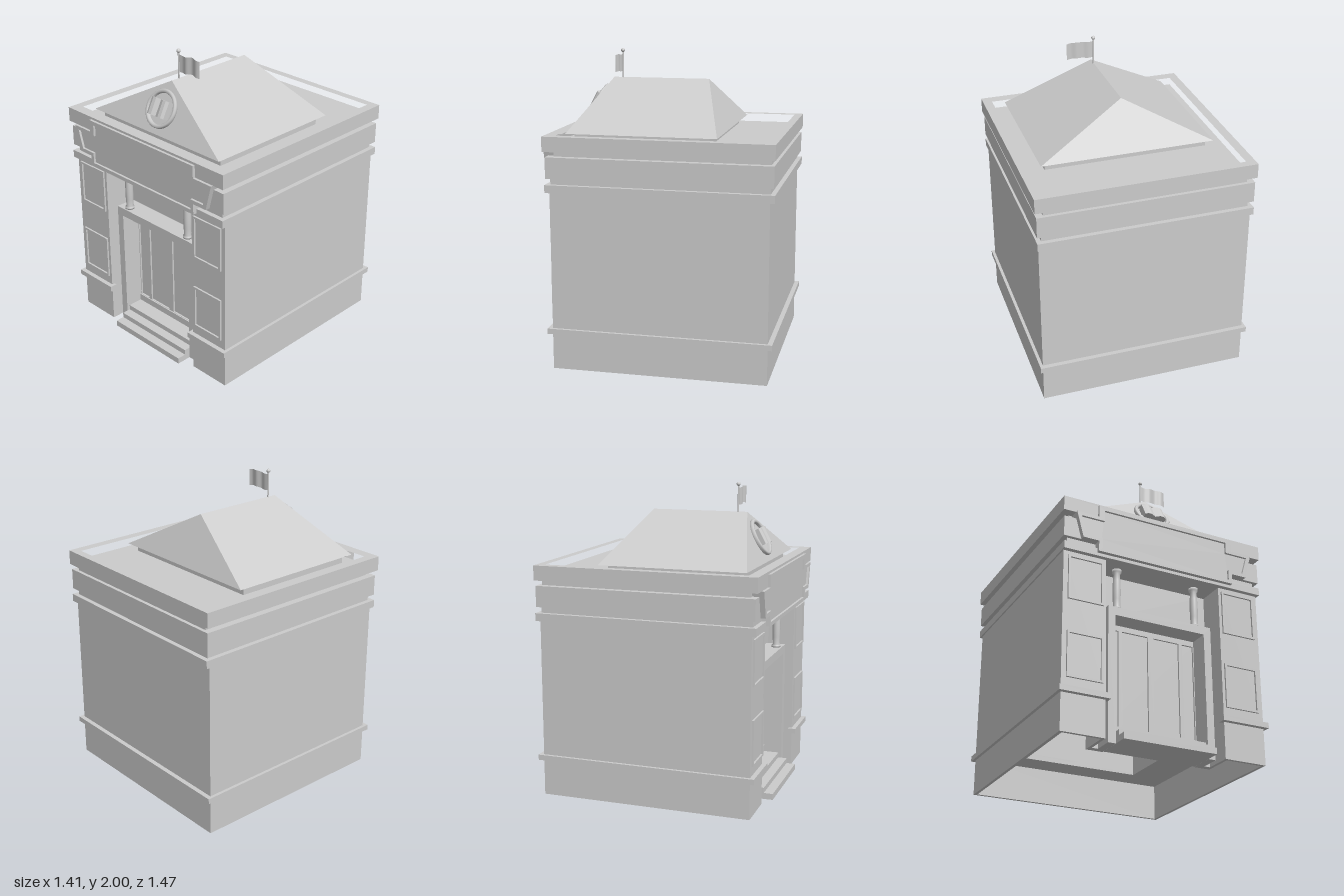
import * as THREE from 'three';
import { ConvexGeometry } from 'three/addons/geometries/ConvexGeometry.js';

const grey = new THREE.MeshStandardMaterial({ color: 0xcccccc });
const twoSided = new THREE.MeshStandardMaterial({ color: 0xcccccc, side: THREE.DoubleSide });

function add(parent, name, geometry, material = grey) {
  const mesh = new THREE.Mesh(geometry, material);
  mesh.name = name;
  parent.add(mesh);
  return mesh;
}

// Box given by its min and max on each axis
function box(parent, name, x0, x1, y0, y1, z0, z1) {
  const mesh = add(parent, name, new THREE.BoxGeometry(x1 - x0, y1 - y0, z1 - z0));
  mesh.position.set((x0 + x1) / 2, (y0 + y1) / 2, (z0 + z1) / 2);
  return mesh;
}

const toShape = (pts) => new THREE.Shape(pts.map(([a, b]) => new THREE.Vector2(a, b)));
const rect = (x0, x1, y0, y1) => [[x0, y0], [x1, y0], [x1, y1], [x0, y1]];
// Completes a right-to-left symmetric outline from its +x half
const mirrored = (half) => [...half, ...half.map(([x, y]) => [-x, y]).reverse()];

// Outline in x/y with holes, extruded from z0 to z1
function panel(parent, name, outline, holes, z0, z1) {
  const shape = toShape(outline);
  holes.forEach((h) => shape.holes.push(toShape(h)));
  const g = new THREE.ExtrudeGeometry(shape, { depth: z1 - z0, bevelEnabled: false });
  return add(parent, name, g.translate(0, 0, z0));
}

// Outline in x/z with holes, extruded from y0 to y1
function plan(parent, name, outline, holes, y0, y1) {
  const flip = (pts) => pts.map(([x, z]) => [x, -z]);
  const shape = toShape(flip(outline));
  holes.forEach((h) => shape.holes.push(toShape(flip(h))));
  const g = new THREE.ExtrudeGeometry(shape, { depth: y1 - y0, bevelEnabled: false });
  return add(parent, name, g.rotateX(-Math.PI / 2).translate(0, y0, 0));
}

function buildWalls(root) {
  const walls = new THREE.Group();
  walls.name = 'walls';
  root.add(walls);
  // Hollow plinth, open across the doorway
  plan(walls, 'plinth', mirrored([
    [0.685, -0.70], [0.685, 0.68], [0.40, 0.68], [0.40, 0.46],
    [0.42, 0.46], [0.42, 0.66], [0.665, 0.66], [0.665, -0.68],
  ]), [], 0, 0.25);
  plan(walls, 'plinthBand', mirrored([
    [0.705, -0.73], [0.705, 0.71], [0.38, 0.71], [0.38, 0.66], [0.40, 0.66], [0.40, -0.5],
  ]), [], 0.235, 0.27);
  plan(walls, 'mainWalls', mirrored([
    [0.685, -0.70], [0.685, 0.68], [0.40, 0.68], [0.40, -0.5],
  ]), [], 0.25, 1.16);
  // Raised frames on the two front pilasters
  for (const s of [-1, 1]) {
    for (const y of [0.345, 0.845]) {
      const a = s > 0 ? 0.433 : -0.64;
      panel(walls, 'pilasterFrame', rect(a - 0.014, a + 0.221, y - 0.014, y + 0.279),
        [rect(a, a + 0.207, y, y + 0.265)], 0.675, 0.692);
    }
  }
}

function buildCornice(root) {
  const cornice = new THREE.Group();
  cornice.name = 'cornice';
  root.add(cornice);
  const bands = [
    ['lowerMoulding', 0.695, 1.15, 1.20, -0.73, 0.71],
    ['lowerRecess', 0.665, 1.20, 1.24, -0.70, 0.68],
    ['frieze', 0.695, 1.24, 1.375, -0.723, 0.703],
    ['upperRecess', 0.65, 1.375, 1.45, -0.70, 0.66],
  ];
  for (const [name, x, y0, y1, z0, z1] of bands) box(cornice, name, -x, x, y0, y1, z0, z1);
  plan(cornice, 'parapet', rect(-0.705, 0.705, -0.73, 0.718),
    [rect(-0.645, 0.645, -0.677, 0.647)], 1.41, 1.505);
}

function buildSign(root) {
  const sign = new THREE.Group();
  sign.name = 'signBoard';
  root.add(sign);
  const outer = mirrored([
    [0.475, 1.17], [0.475, 1.24], [0.58, 1.24], [0.625, 1.41], [0.475, 1.41], [0.475, 1.49],
  ]);
  const inner = mirrored([
    [0.45, 1.195], [0.45, 1.265], [0.557, 1.265], [0.592, 1.387], [0.437, 1.387], [0.437, 1.462],
  ]);
  panel(sign, 'signFrame', outer, [inner], 0.66, 0.735);
  panel(sign, 'signPanel', inner, [], 0.66, 0.72);
}

function buildEntrance(root) {
  const entrance = new THREE.Group();
  entrance.name = 'entrance';
  root.add(entrance);
  box(entrance, 'wallOverDoor', -0.40, 0.40, 0.82, 1.16, 0.46, 0.50);
  for (const s of [-1, 1]) {
    box(entrance, 'wallBesideDoor', s * 0.375 - 0.025, s * 0.375 + 0.025, 0, 0.82, 0.46, 0.50);
  }
  panel(entrance, 'doorFrame', mirrored([[0.31, 0], [0.36, 0], [0.36, 0.875]])
    .concat([[-0.31, 0], [-0.31, 0.82], [0.31, 0.82]].slice(1)).map((p) => p)
    .filter((p) => p), [], 0.46, 0.63);
  // Two leaves with narrow side lights
  const openings = [[-0.31, -0.225], [-0.2, -0.02], [0.02, 0.2], [0.225, 0.305]];
  panel(entrance, 'doorRails', rect(-0.315, 0.315, 0.10, 0.825),
    openings.map(([a, b]) => rect(Math.max(a, -0.305), b, 0.157, 0.785)), 0.46, 0.50);
  box(entrance, 'doorPanels', -0.31, 0.31, 0.15, 0.79, 0.472, 0.488);
  box(entrance, 'doorThreshold', -0.31, 0.31, 0.11, 0.155, 0.46, 0.508);
  // Steps
  [0.73, 0.67, 0.61].forEach((z, i) => {
    box(entrance, 'step', -0.309, 0.309, [0, 0.04, 0.075][i], [0.04, 0.075, 0.11][i], 0.47, z);
  });
  // Columns standing on the door frame
  const profile = [
    [0, 0], [0.031, 0], [0.031, 0.012], [0.022, 0.02], [0.025, 0.07], [0.026, 0.13],
    [0.024, 0.2], [0.02, 0.245], [0.03, 0.257], [0.03, 0.277], [0, 0.277],
  ].map(([r, y]) => new THREE.Vector2(r, y));
  for (const x of [-0.283, 0.268]) {
    add(entrance, 'column', new THREE.LatheGeometry(profile, 20)).position.set(x, 0.875, 0.59);
  }
}

function buildRoof(root) {
  const roof = new THREE.Group();
  roof.name = 'roof';
  root.add(roof);
  box(roof, 'roofBase', -0.53, 0.53, 1.44, 1.506, -0.30, 0.56);
  const v = (x, y, z) => new THREE.Vector3(x, y, z);
  add(roof, 'hippedRoof', new ConvexGeometry([
    v(-0.565, 1.505, 0.61), v(0.565, 1.505, 0.61), v(-0.565, 1.505, -0.353), v(0.565, 1.505, -0.353),
    v(0, 1.81, 0.45), v(0, 1.81, -0.19),
  ]));

  // Round medallion lying on the front slope
  const medallion = new THREE.Group();
  medallion.name = 'medallion';
  medallion.position.set(0, 1.648, 0.535);
  medallion.rotation.x = -Math.atan2(0.16, 0.305);
  roof.add(medallion);
  const ring = [[0.1, -0.01], [0.125, -0.01], [0.125, 0.014], [0.119, 0.022], [0.106, 0.022], [0.1, 0.014], [0.1, -0.01]];
  add(medallion, 'medallionRing', new THREE.LatheGeometry(
    ring.map(([r, y]) => new THREE.Vector2(r, y)), 40).rotateX(Math.PI / 2));
  // Open book with bowed pages
  const top = [[-0.075, 0.04], [-0.055, 0.05], [-0.03, 0.05], [0, 0.036], [0.03, 0.05], [0.055, 0.05], [0.075, 0.04]];
  plan(medallion, 'openBook', [[-0.075, -0.005], ...top, [0.075, -0.005]], [], -0.054, 0.054);

  // Flag on its pole
  const flag = new THREE.Group();
  flag.name = 'flag';
  flag.position.set(0, 1.8, 0.39);
  roof.add(flag);
  add(flag, 'flagPole', new THREE.CylinderGeometry(0.005, 0.005, 0.19, 10)).position.y = 0.09;
  add(flag, 'poleBall', new THREE.SphereGeometry(0.013, 14, 10)).position.y = 0.187;
  const cloth = new THREE.PlaneGeometry(0.18, 0.11, 24, 1).translate(0.092, 0.11, 0);
  const p = cloth.attributes.position;
  for (let i = 0; i < p.count; i++) {
    const x = p.getX(i);
    p.setZ(i, -0.006 * Math.sin(x * 70) * Math.min(1, x * 15));
    p.setY(i, p.getY(i) - 0.004 * Math.sin(x * 40));
  }
  cloth.computeVertexNormals();
  add(flag, 'flagCloth', cloth, twoSided);
}

export function createModel() {
  const root = new THREE.Group();
  root.name = 'building';
  buildWalls(root);
  buildCornice(root);
  buildSign(root);
  buildEntrance(root);
  buildRoof(root);
  return root;
}
